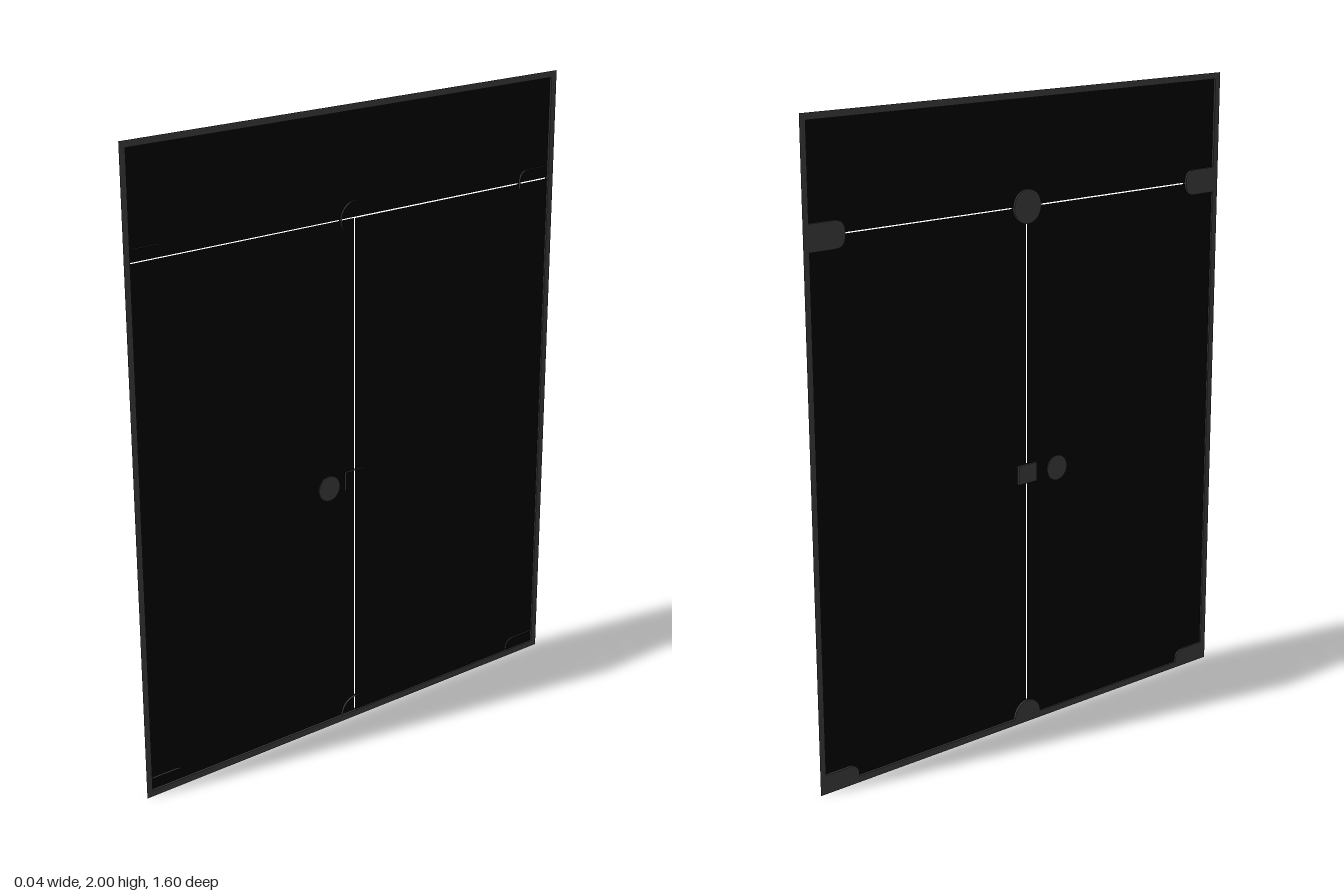
import * as THREE from 'three';

const glassMat = new THREE.MeshStandardMaterial({ color: 0x000000 });
const metalMat = new THREE.MeshStandardMaterial({ color: 0x383838 });

const HALF_W = 0.8, HEIGHT = 2, BORDER = 0.02, INNER = HALF_W - BORDER;
const TRANSOM_Y = 1.66, LOCK_Y = 0.83;
const GLASS_T = 0.001, METAL_T = 0.014;

function add(group, name, geometry, material) {
  const mesh = new THREE.Mesh(geometry, material);
  mesh.name = name;
  group.add(mesh);
  return mesh;
}

// Extrude a shape drawn in (z, y) across the thickness, centred on x = 0
function slab(shape, depth) {
  const g = new THREE.ExtrudeGeometry(shape, { depth, bevelEnabled: false, curveSegments: 20 });
  g.translate(0, 0, -depth / 2);
  g.rotateY(-Math.PI / 2); // shape x -> +z, extrusion -> -x
  return g;
}

// Keep only the triangles whose centre and normal pass a test
function keepFaces(geometry, test) {
  const p = geometry.attributes.position, out = [];
  const t = new THREE.Triangle(), mid = new THREE.Vector3(), n = new THREE.Vector3();
  for (let i = 0; i < p.count; i += 3) {
    t.setFromAttributeAndIndices(p, i, i + 1, i + 2);
    if (test(t.getMidpoint(mid), t.getNormal(n))) {
      for (const v of [t.a, t.b, t.c]) out.push(v.x, v.y, v.z);
    }
  }
  const g = new THREE.BufferGeometry();
  g.setAttribute('position', new THREE.Float32BufferAttribute(out, 3));
  g.computeVertexNormals();
  return g;
}

function rect(z0, y0, z1, y1, Type = THREE.Shape) {
  const s = new Type();
  s.moveTo(z0, y0);
  s.lineTo(z1, y0);
  s.lineTo(z1, y1);
  s.lineTo(z0, y1);
  s.closePath();
  return s;
}

// Disc, or its upper half
function disc(z, y, r, half = false) {
  const s = new THREE.Shape();
  s.absarc(z, y, r, 0, half ? Math.PI : Math.PI * 2, false);
  s.closePath();
  return s;
}

// Corner plate reaching in from a side jamb with rounded inner corners
function cornerPlate(side, y0, y1, roundBottom) {
  const a = side * INNER, b = side * 0.66, r = 0.035 * side, ry = 0.035;
  const s = new THREE.Shape();
  s.moveTo(a, y0);
  if (roundBottom) {
    s.lineTo(b + r, y0);
    s.quadraticCurveTo(b, y0, b, y0 + ry);
  } else s.lineTo(b, y0);
  s.lineTo(b, y1 - ry);
  s.quadraticCurveTo(b, y1, b + r, y1);
  s.lineTo(a, y1);
  s.closePath();
  return s;
}

export function createModel() {
  const model = new THREE.Group();
  model.name = 'glassDoors';

  // Surrounding frame, open towards the wall
  const ring = rect(-HALF_W, 0, HALF_W, HEIGHT);
  ring.holes.push(rect(-INNER, BORDER, INNER, HEIGHT - BORDER, THREE.Path));
  const inside = (m) => Math.abs(m.z) < HALF_W - 0.001 && m.y > 0.001 && m.y < HEIGHT - 0.001;
  add(model, 'frame', keepFaces(slab(ring, METAL_T), (m, n) => Math.abs(n.x) > 0.5 || inside(m)), metalMat);

  // Thin glass: two slightly staggered door leaves and the light above them
  add(model, 'transomGlass', slab(rect(-INNER, TRANSOM_Y + 0.002, INNER, HEIGHT - BORDER), GLASS_T), glassMat);
  for (const [side, name] of [[1, 'leftLeafGlass'], [-1, 'rightLeafGlass']]) {
    const leaf = rect(side * 0.0015, BORDER, side * INNER, TRANSOM_Y - 0.002);
    add(model, name, slab(leaf, GLASS_T), glassMat).position.x = -side * 0.001;
  }

  // Patch fittings: plate on the -x side and a rim that is open against the frame
  const free = (m) => Math.abs(m.z) < INNER - 0.001 && m.y > BORDER + 0.001;
  const fitting = (name, shape) =>
    add(model, name, keepFaces(slab(shape, METAL_T), (m, n) => n.x < -0.5 || (n.x < 0.5 && free(m))), metalMat);
  fitting('topCentrePatch', disc(0, TRANSOM_Y, 0.052));
  fitting('floorCentrePatch', disc(0, BORDER, 0.052, true));
  fitting('lockPlate', rect(-0.037, LOCK_Y - 0.03, 0.037, LOCK_Y + 0.03));
  for (const side of [-1, 1]) {
    fitting('topCornerPatch', cornerPlate(side, TRANSOM_Y - 0.04, TRANSOM_Y + 0.04, true));
    fitting('floorCornerPatch', cornerPlate(side, BORDER, BORDER + 0.04, false));
  }

  // Pair of round pulls joined by a spindle through the glass
  const handle = new THREE.Group();
  handle.name = 'handle';
  handle.position.set(0, LOCK_Y, 0.11);
  for (const side of [-1, 1]) {
    const pull = add(handle, 'pullDisc', new THREE.CylinderGeometry(0.04, 0.04, 0.004, 40), metalMat);
    pull.rotation.z = Math.PI / 2;
    pull.position.x = side * 0.016;
  }
  const spindle = add(handle, 'spindle', new THREE.CylinderGeometry(0.009, 0.009, 0.03, 20), metalMat);
  spindle.rotation.z = Math.PI / 2;
  model.add(handle);

  return model;
}
